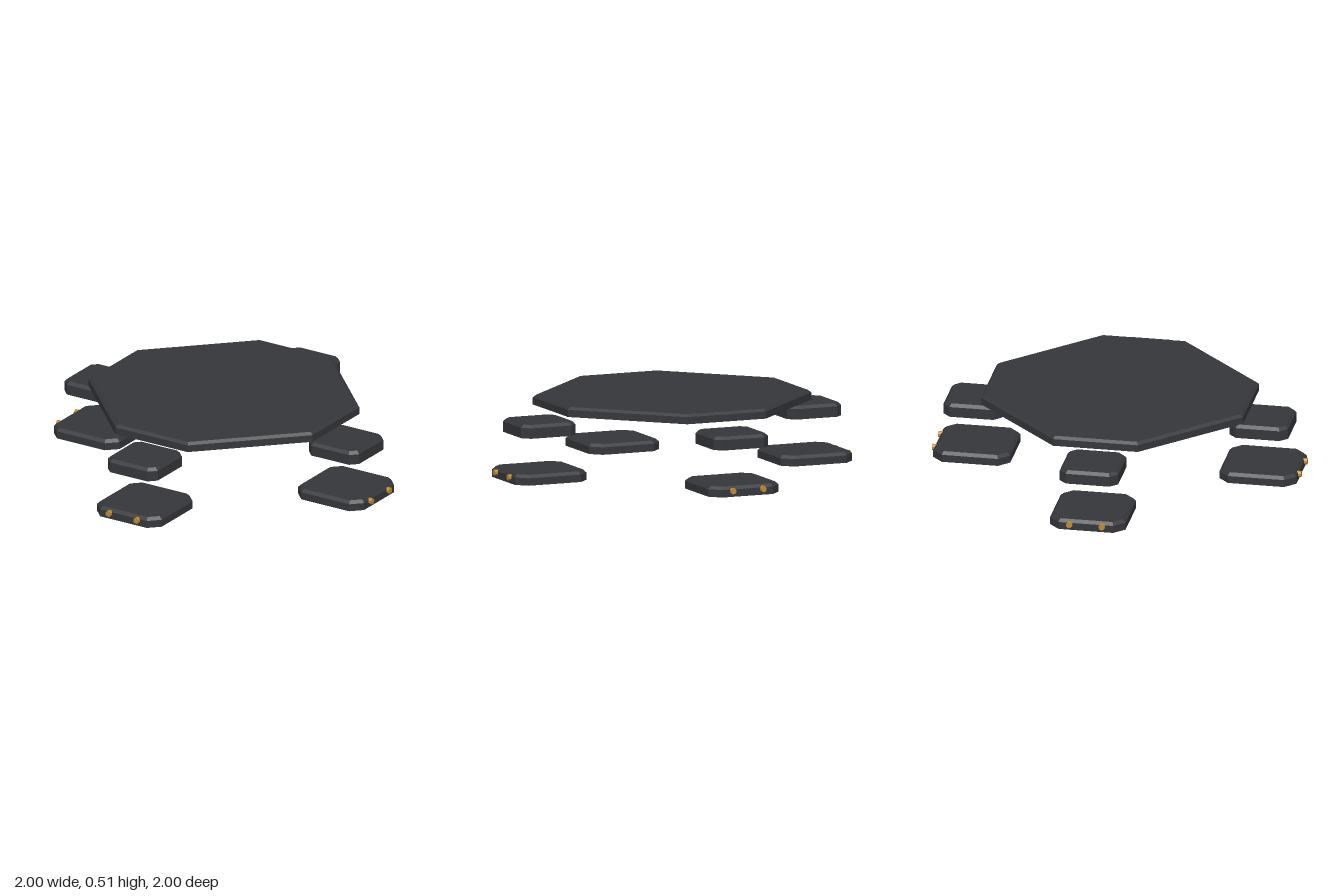
import * as THREE from 'three';

const dark = new THREE.MeshStandardMaterial({ color: 0x36373b, flatShading: true });
const gold = new THREE.MeshStandardMaterial({ color: 0xc08a30, flatShading: true });

// Corners of a rectangle with cut corners, counter-clockwise seen from above
function outline(hx, hz, cut) {
  return [
    [hx, hz - cut], [hx, cut - hz], [hx - cut, -hz], [cut - hx, -hz],
    [-hx, cut - hz], [-hx, hz - cut], [cut - hx, hz], [hx - cut, hz],
  ];
}

// Flat slab with cut corners and a bevelled top edge, standing on y = 0
function slab(name, hx, hz, cut, height, bevel, drop) {
  const base = outline(hx, hz, cut);
  const top = outline(hx - bevel, hz - bevel, cut - bevel * (2 - Math.SQRT2));
  const rings = [[base, 0], [base, height - drop], [top, height]]
    .map(([pts, y]) => pts.map(([x, z]) => new THREE.Vector3(x, y, z)));
  const verts = [];
  const tri = (...corners) => corners.forEach((p) => verts.push(p.x, p.y, p.z));
  for (let i = 0; i < 8; i++) {
    const j = (i + 1) % 8;
    for (let r = 0; r < 2; r++) {
      const [lo, hi] = [rings[r], rings[r + 1]];
      tri(lo[i], lo[j], hi[j]);
      tri(lo[i], hi[j], hi[i]);
    }
    tri(new THREE.Vector3(0, height, 0), rings[2][i], rings[2][j]);
    tri(new THREE.Vector3(0, 0, 0), rings[0][j], rings[0][i]);
  }
  const geo = new THREE.BufferGeometry();
  geo.setAttribute('position', new THREE.Float32BufferAttribute(verts, 3));
  geo.computeVertexNormals();
  const mesh = new THREE.Mesh(geo, dark);
  mesh.name = name;
  return mesh;
}

export function createModel() {
  const model = new THREE.Group();
  model.name = 'platform';

  // Large top deck
  const deck = slab('deck', 0.83, 0.83, 0.405, 0.065, 0.02, 0.017);
  deck.position.y = 0.45;
  model.add(deck);

  // Four diagonal legs, each a pair of floating pads with two studs
  for (let k = 0; k < 4; k++) {
    const leg = new THREE.Group();
    leg.name = 'leg';
    leg.rotation.y = Math.PI / 4 + (k * Math.PI) / 2;

    const upper = slab('upperPad', 0.198, 0.198, 0.05, 0.09, 0.02, 0.02);
    upper.position.set(0, 0.305, 0.969);
    const foot = slab('footPad', 0.256, 0.261, 0.071, 0.07, 0.02, 0.02);
    foot.position.set(0, 0, 0.969);
    leg.add(upper, foot);

    // Studs on the outer edge of the foot
    for (const side of [-1, 1]) {
      const stud = new THREE.Mesh(new THREE.CylinderGeometry(0.021, 0.021, 0.04, 8), gold);
      stud.name = 'stud';
      stud.geometry.rotateY(Math.PI / 8);
      stud.rotation.x = Math.PI / 2;
      stud.position.set(side * 0.11, 0.04, 1.23);
      leg.add(stud);
    }
    model.add(leg);
  }
  return model;
}
